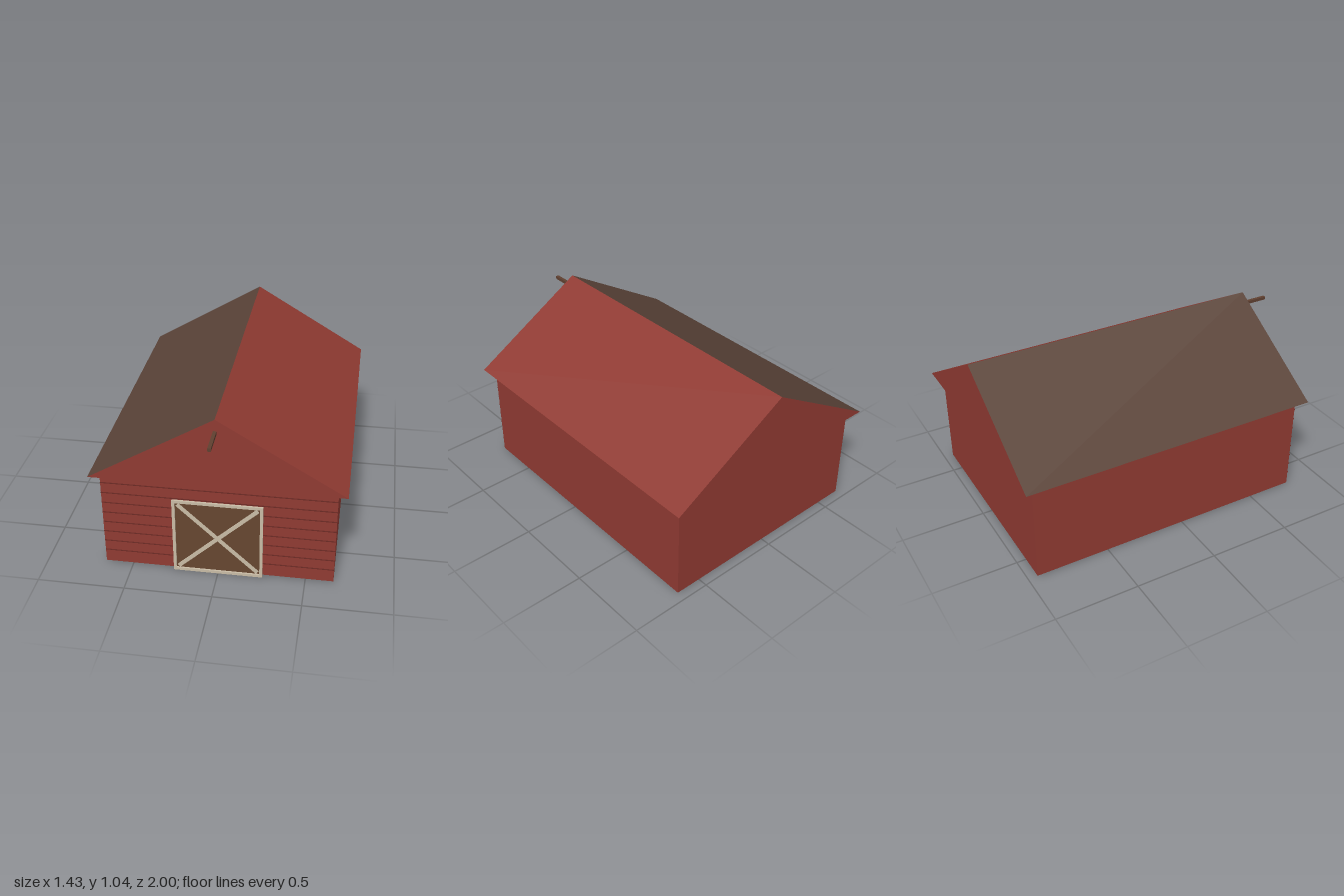
import * as THREE from 'three';

const paint = (color) => new THREE.MeshStandardMaterial({ color, flatShading: true });

export function createModel() {
  const barn = new THREE.Group();
  barn.name = 'barn';
  const red = paint(0x8f3a32), darkRed = paint(0x6b2a24), roofBrown = paint(0x5a4338);
  const doorBrown = paint(0x664630), cream = paint(0xc8bba5), timber = paint(0x5f4030);

  const box = (name, material, w, h, d, x, y, z, parent = barn) => {
    const mesh = new THREE.Mesh(new THREE.BoxGeometry(w, h, d), material);
    mesh.name = name;
    mesh.position.set(x, y, z);
    parent.add(mesh);
    return mesh;
  };

  // Walls
  box('walls', red, 1.32, 0.61, 1.72, 0, 0.31, -0.085);

  // Thin horizontal siding strips across the front
  const siding = new THREE.Group();
  siding.name = 'siding';
  barn.add(siding);
  for (let i = 0; i < 8; i++) {
    box('sidingStrip', darkRed, 1.32, 0.005, 0.006, 0, 0.087 + i * 0.0662, 0.776, siding);
  }

  // Roof prism: red gables and underside, brown slopes
  const gable = new THREE.Shape([
    new THREE.Vector2(-0.713, 0.615),
    new THREE.Vector2(0.713, 0.615),
    new THREE.Vector2(0, 1.037),
  ]);
  const roofGeometry = new THREE.ExtrudeGeometry(gable, { depth: 1.828, bevelEnabled: false });
  roofGeometry.clearGroups();
  [[0, 6, 0], [6, 6, 1], [12, 6, 0], [18, 6, 1]].forEach((g) => roofGeometry.addGroup(...g));
  const roof = new THREE.Mesh(roofGeometry, [red, roofBrown]);
  roof.name = 'roof';
  roof.position.z = -1;
  barn.add(roof);

  // Hoist beam below the ridge
  box('hoistBeam', timber, 0.019, 0.019, 0.2, 0, 0.959, 0.9);

  // Door with frame and cross braces
  const door = new THREE.Group();
  door.name = 'door';
  door.position.set(0, 0.2415, 0);
  barn.add(door);
  box('doorPanel', doorBrown, 0.48, 0.465, 0.014, 0, -0.004, 0.779, door);
  for (const s of [-1, 1]) {
    box('frameRail', cream, 0.512, 0.017, 0.012, 0, s * 0.233, 0.79, door);
    box('frameStile', cream, 0.017, 0.449, 0.012, s * 0.2475, 0, 0.79, door);
    const brace = box('crossBrace', cream, 0.62, 0.022, 0.009, 0, 0, 0.788 + s * 0.0005, door);
    brace.rotation.z = s * Math.atan2(0.45, 0.478);
  }
  return barn;
}
